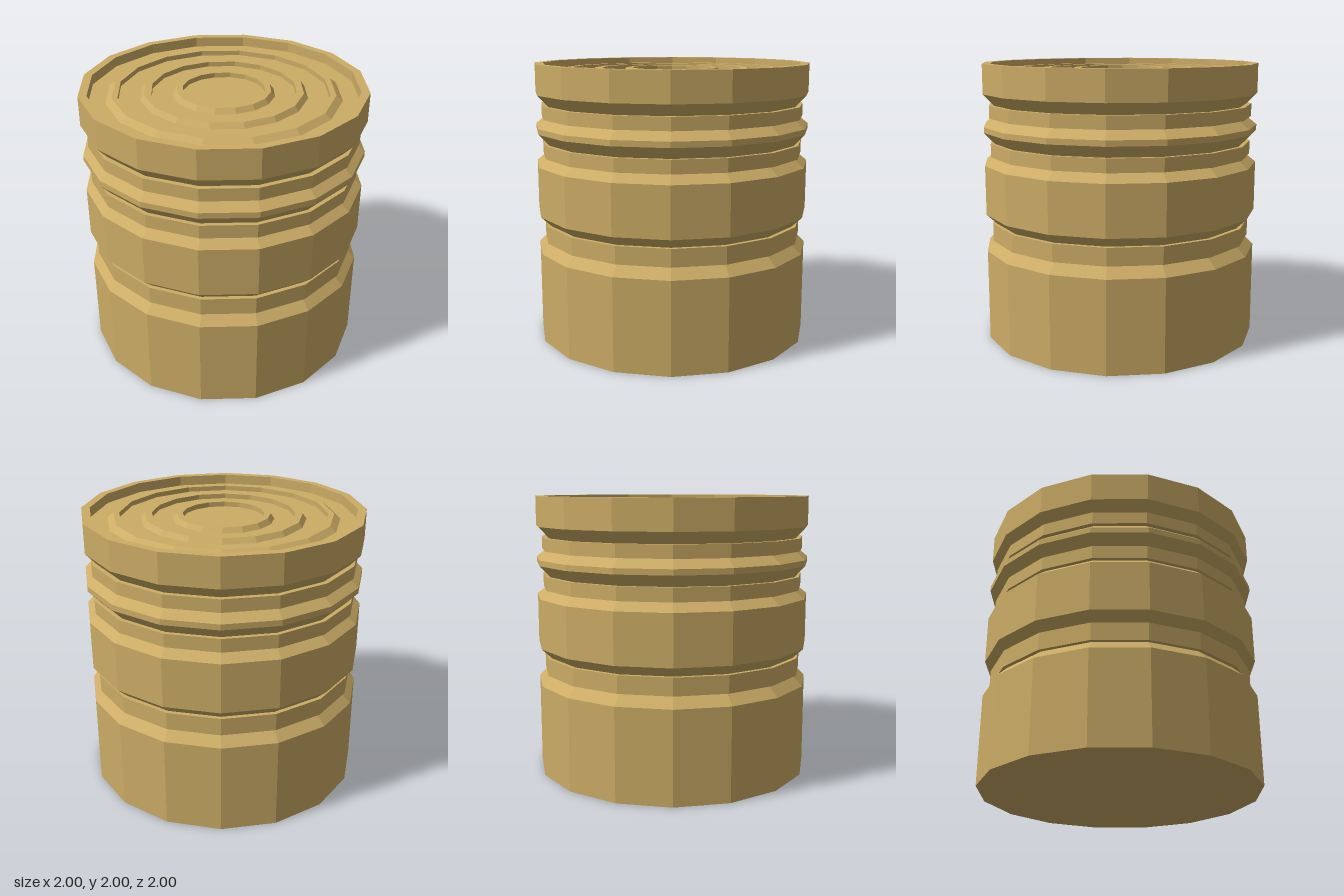
import * as THREE from 'three';

const SIDES = 16;
const brass = new THREE.MeshStandardMaterial({ color: 0xccac66, flatShading: true });

// Revolve a profile of [radius, height] pairs (outer side runs upward)
function turned(name, profile) {
  const points = profile.map(([r, y]) => new THREE.Vector2(r, y));
  const mesh = new THREE.Mesh(new THREE.LatheGeometry(points, SIDES), brass);
  mesh.name = name;
  return mesh;
}

export function createModel() {
  const group = new THREE.Group();
  group.name = 'groovedCylinder';

  // Grooves: lower lip, band bottom, band top, upper lip, band radius
  const grooves = [
    [0.66, 0.735, 0.86, 0.93, 0.955],
    [1.285, 1.345, 1.44, 1.52, 0.955],
    [1.56, 1.62, 1.71, 1.79, 0.96],
  ];

  // Body wall with chamfered grooves, each holding a raised band
  const wall = [[0, 0], [1, 0]];
  for (const [lip, low, high, upper, r] of grooves) {
    const inner = 0.925;
    wall.push([1, lip], [inner, low], [r, low], [r, high], [inner, high], [1, upper]);
  }
  wall.push([1, 2]);
  group.add(turned('body', wall));

  // Recessed top face with a flat rim and three concentric ridges
  const floor = 1.93, crest = 1.965;
  const face = [[1, 2], [0.94, 2], [0.94, floor]];
  for (const [foot, outer, inner] of [[0.82, 0.775, 0.735], [0.583, 0.555, 0.505], [0.357, 0.33, 0.287]]) {
    face.push([foot, floor], [outer, crest], [inner, crest], [inner, floor]);
  }
  face.push([0, floor]);
  group.add(turned('topFace', face));

  return group;
}
